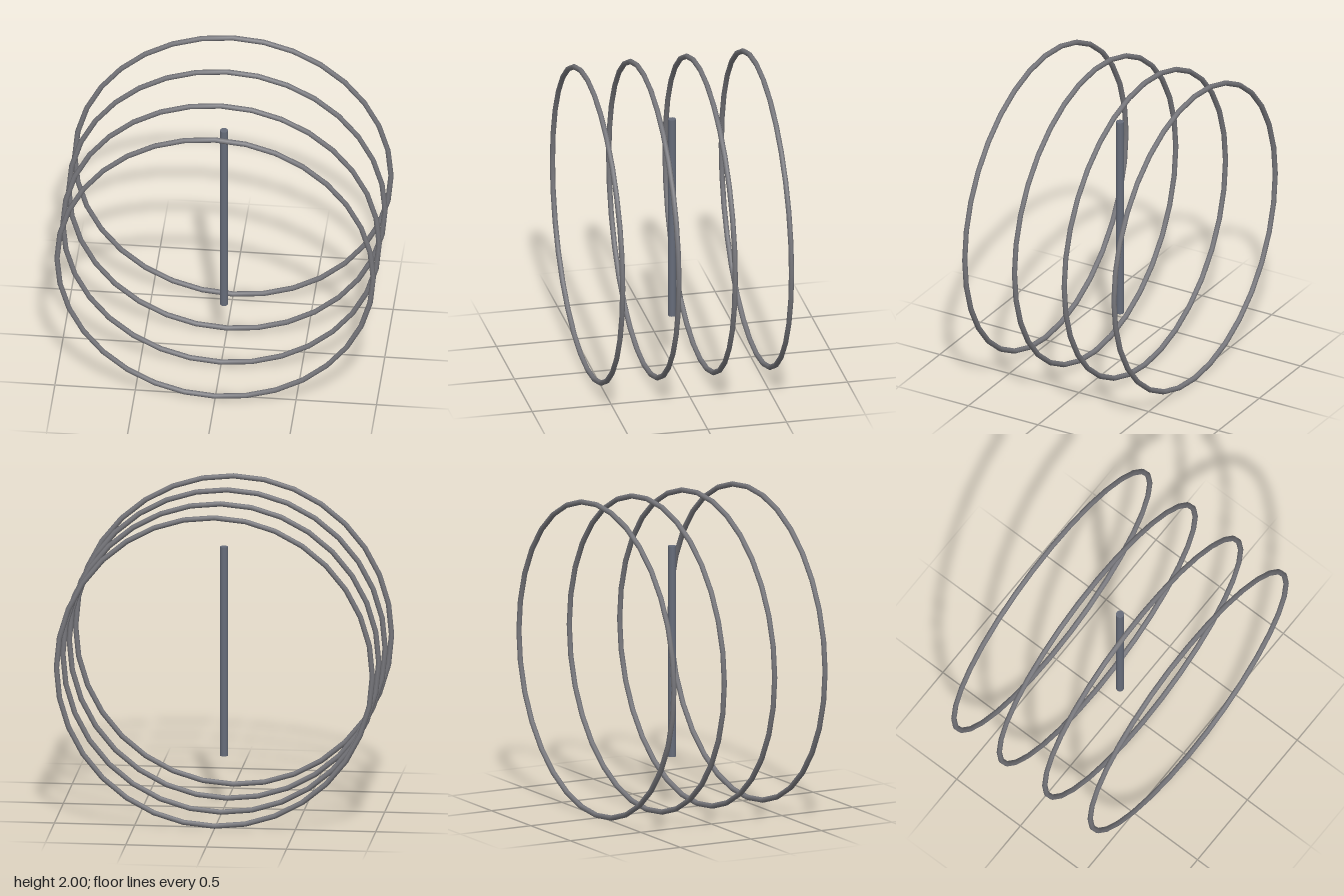
import * as THREE from 'three';

export function createModel() {
  const model = new THREE.Group();
  const ringMaterial = new THREE.MeshStandardMaterial({ color: 0x77777c });
  const rodMaterial = new THREE.MeshStandardMaterial({ color: 0x666c7a });

  // Four equally spaced upright hoops facing the front
  const tube = 0.0167;
  const spacing = 0.357;
  const ringGeometry = new THREE.TorusGeometry(1 - tube, tube, 8, 32);
  for (let i = 0; i < 4; i++) {
    const ring = new THREE.Mesh(ringGeometry, ringMaterial);
    ring.name = `ring${i + 1}`;
    ring.position.set(0, 1, (i - 1.5) * spacing);
    model.add(ring);
  }

  // Vertical rod in the middle
  const rod = new THREE.Mesh(new THREE.CylinderGeometry(0.025, 0.025, 1.333, 16), rodMaterial);
  rod.name = 'centreRod';
  rod.position.y = 1;
  model.add(rod);

  return model;
}
